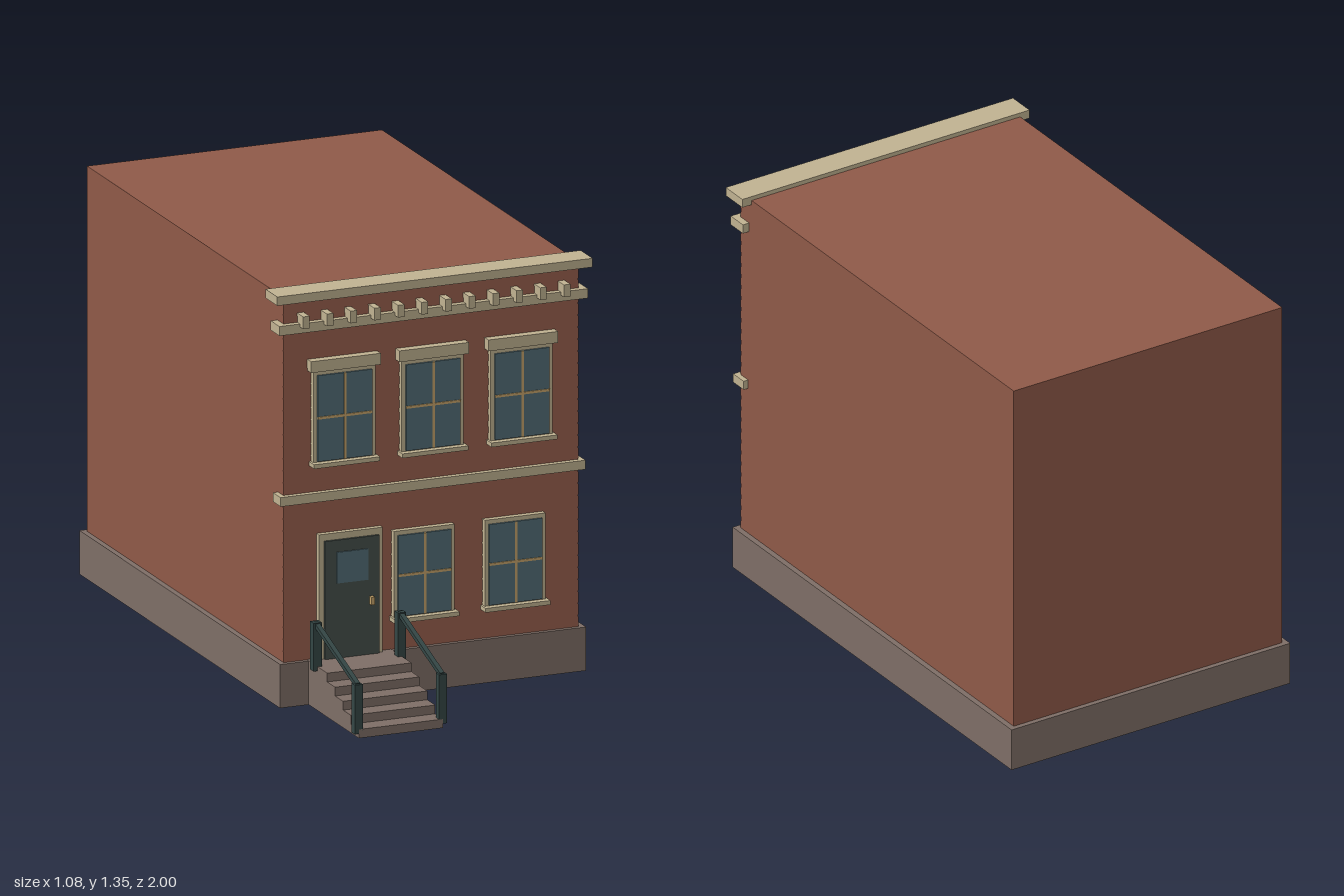
import * as THREE from 'three';

const mat = (name, color) => {
  const m = new THREE.MeshStandardMaterial({ color });
  m.name = name;
  return m;
};

export function createModel() {
  const brick = mat('brick red', 0x8f5948);
  const stone = mat('grey brown stone', 0x7e6e66);
  const trim = mat('sandstone trim', 0xc0b291);
  const glass = mat('blue glass', 0x526d76);
  const doorPaint = mat('dark green door', 0x454f4a);
  const iron = mat('dark iron', 0x344645);
  const brass = mat('brass', 0xc4a36a);

  const house = new THREE.Group();
  house.name = 'townhouse';

  // Box given by its min and max on each axis
  function box(name, m, x0, x1, y0, y1, z0, z1, parent = house) {
    const mesh = new THREE.Mesh(new THREE.BoxGeometry(x1 - x0, y1 - y0, z1 - z0), m);
    mesh.position.set((x0 + x1) / 2, (y0 + y1) / 2, (z0 + z1) / 2);
    mesh.name = name;
    parent.add(mesh);
    return mesh;
  }
  // Outline in (z, y) extruded across x
  function sideProfile(name, m, points, x0, x1) {
    const shape = new THREE.Shape(points.map(([z, y]) => new THREE.Vector2(-z, y)));
    const geo = new THREE.ExtrudeGeometry(shape, { depth: x1 - x0, bevelEnabled: false });
    geo.rotateY(Math.PI / 2).translate(x0, 0, 0);
    const mesh = new THREE.Mesh(geo, m);
    mesh.name = name;
    house.add(mesh);
  }

  // Body and foundation
  box('foundation', stone, -0.523, 0.523, 0, 0.143, -1, 0.6);
  box('walls', brick, -0.504, 0.504, 0.143, 1.34, -0.983, 0.58);

  // Overlapping courses on the facade, each leaning out at its lower edge
  const courses = 30, y0 = 0.143, y1 = 1.325, step = (y1 - y0) / courses;
  const siding = [[0.578, y0]];
  for (let i = 0; i < courses; i++) {
    siding.push([0.585, y0 + i * step], [0.581, y0 + (i + 1) * step]);
  }
  siding.push([0.578, y1]);
  sideProfile('facadeCourses', brick, siding, -0.504, 0.504);

  // Belt course and cornice
  box('beltCourse', trim, -0.521, 0.521, 0.66, 0.69, 0.54, 0.6);
  box('lowerCornice', trim, -0.527, 0.527, 1.222, 1.253, 0.535, 0.605);
  box('upperCornice', trim, -0.539, 0.539, 1.325, 1.354, 0.52, 0.615);
  for (let i = 0; i < 12; i++) {
    const x = (i - 5.5) * 0.081;
    box('corniceBracket', trim, x - 0.011, x + 0.011, 1.243, 1.283, 0.58, 0.63);
  }

  // Windows: casing, pane, glazing bars, sill and optional lintel
  function window(cx, bottom, top, half, lintel) {
    const g = new THREE.Group();
    g.name = lintel ? 'upperWindow' : 'lowerWindow';
    house.add(g);
    const mid = (bottom + top) / 2, pane = half - 0.013;
    box('casing', trim, cx - half, cx + half, bottom, top, 0.575, 0.602, g);
    box('pane', glass, cx - pane, cx + pane, bottom + 0.01, top - 0.014, 0.601, 0.608, g);
    box('verticalBar', brass, cx - 0.004, cx + 0.004, bottom + 0.01, top - 0.014, 0.604, 0.611, g);
    box('horizontalBar', brass, cx - pane, cx + pane, mid - 0.004, mid + 0.004, 0.604, 0.611, g);
    box('sill', trim, cx - half - 0.007, cx + half + 0.007, bottom - 0.007, bottom + 0.007, 0.575, 0.624, g);
    if (lintel) box('lintel', trim, cx - half - 0.013, cx + half + 0.013, top, top + 0.037, 0.575, 0.615, g);
  }
  for (const x of [-0.304, -0.002, 0.302]) window(x, 0.785, 1.091, 0.106, true);
  for (const x of [-0.031, 0.28]) window(x, 0.245, 0.534, 0.104, false);

  // Door
  box('doorCasing', trim, -0.391, -0.173, 0.143, 0.553, 0.575, 0.602);
  box('door', doorPaint, -0.373, -0.188, 0.143, 0.531, 0.59, 0.61);
  box('doorPane', glass, -0.334, -0.226, 0.39, 0.492, 0.608, 0.614);
  box('doorHandle', brass, -0.222, -0.21, 0.309, 0.335, 0.608, 0.626);

  // Front steps
  const stairs = [[0.58, 0], [1, 0]];
  const treadZ = [1, 0.937, 0.874, 0.811, 0.748, 0.58];
  for (let i = 0; i < 5; i++) {
    stairs.push([treadZ[i], (i + 1) * 0.0288], [treadZ[i + 1], (i + 1) * 0.0288]);
  }
  sideProfile('frontSteps', stone, stairs, -0.425, -0.137);

  // Railings
  for (const x of [-0.425, -0.137]) {
    box('lowerPost', iron, x - 0.014, x + 0.014, 0.014, 0.175, 0.974, 1);
    box('upperPost', iron, x - 0.014, x + 0.014, 0.13, 0.288, 0.645, 0.672);
    const a = new THREE.Vector2(0.99, 0.172), b = new THREE.Vector2(0.655, 0.283);
    const rail = new THREE.Mesh(new THREE.BoxGeometry(0.016, 0.014, a.distanceTo(b)), iron);
    rail.position.set(x, (a.y + b.y) / 2, (a.x + b.x) / 2);
    rail.rotation.x = Math.atan2(b.y - a.y, a.x - b.x);
    rail.name = 'handrail';
    house.add(rail);
  }

  return house;
}
